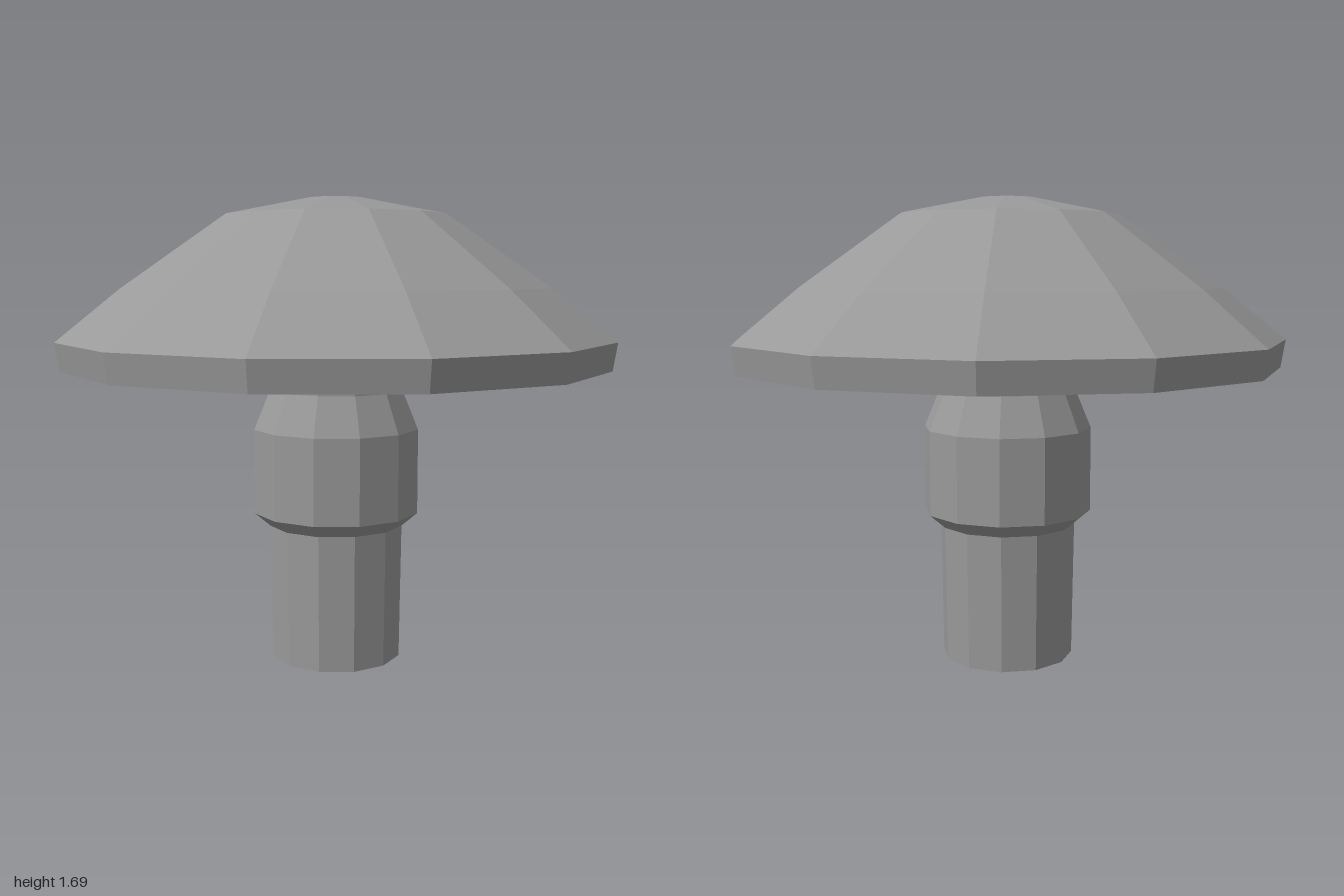
import * as THREE from 'three';

const SIDES = 12;

export function createModel() {
  const grey = new THREE.MeshStandardMaterial({ color: 0x999999, flatShading: true });
  grey.name = 'grey';

  const group = new THREE.Group();
  group.name = 'mushroom';

  // Turned part from [radius, height] pairs, bottom to top
  const turned = (name, profile) => {
    const points = profile.map(([r, y]) => new THREE.Vector2(r, y));
    const mesh = new THREE.Mesh(new THREE.LatheGeometry(points, SIDES), grey);
    mesh.name = name;
    group.add(mesh);
  };

  // Stem with a thick collar under the cap
  turned('stem', [
    [0, 0], [0.243, 0], [0.25, 0.5], [0.308, 0.55],
    [0.308, 0.86], [0.25, 1.0], [0.243, 1.09],
  ]);

  // Wide cap with a flat underside and a short rim
  turned('cap', [
    [0, 1.087], [0.985, 1.087], [1, 1.187], [0.773, 1.37],
    [0.4, 1.63], [0.1, 1.69], [0, 1.69],
  ]);

  return group;
}
